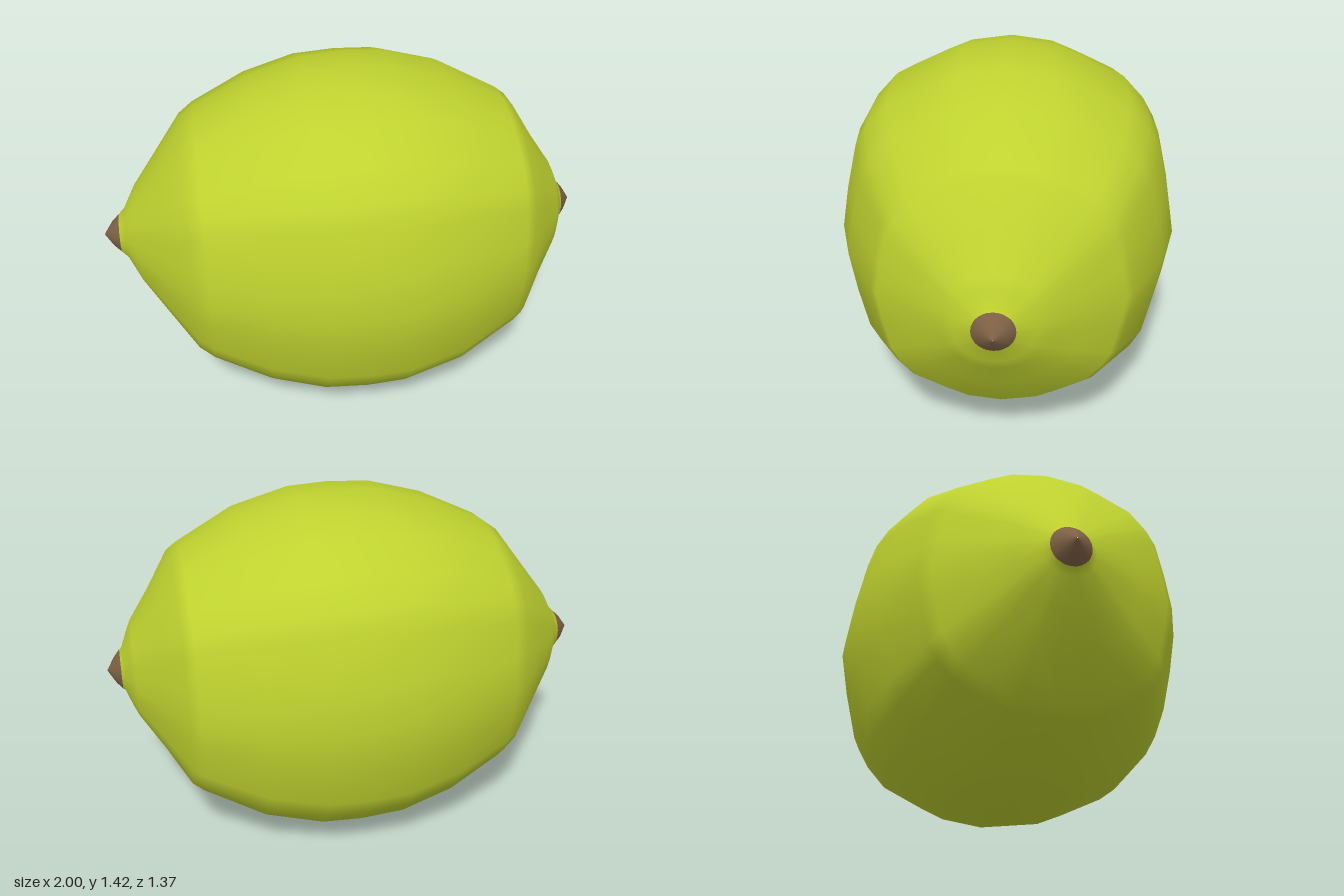
import * as THREE from 'three';

// quarter of the squarish cross-section as [y, z], from the top round to the +z side
const QUARTER = [[0.71, 0], [0.684, 0.19], [0.637, 0.30], [0.55, 0.48], [0.455, 0.565], [0.37, 0.612], [0.18, 0.655], [0, 0.685]];
const N = QUARTER.length - 1;
const RING = [];
for (let q = 0; q < 4; q++) {
  for (let i = 0; i < N; i++) {
    const [y, z] = QUARTER[q % 2 ? N - i : i];
    RING.push([q === 1 || q === 2 ? -y : y, q > 1 ? -z : z]);
  }
}

// skin over stations [x, half height]; small rings become round and drift sideways at the ends
function loft(stations) {
  const pos = [], index = [], n = RING.length;
  for (const [x, r] of stations) {
    const round = 1 - THREE.MathUtils.smoothstep(r, 0.08, 0.4);
    const drift = 0.02 * Math.sign(x) * THREE.MathUtils.smoothstep(Math.abs(x), 0.6, 0.95);
    for (const [y, z] of RING) {
      const len = Math.hypot(y, z);
      const sy = THREE.MathUtils.lerp(y / 0.71, y / len, round);
      const sz = THREE.MathUtils.lerp(z / 0.71, z / len, round);
      pos.push(x, 0.715 + r * sy, drift + r * sz);
    }
  }
  for (let i = 0; i < stations.length - 1; i++) {
    for (let j = 0; j < n; j++) {
      const a = i * n + j, b = i * n + (j + 1) % n;
      index.push(a, b, a + n, b, b + n, a + n);
    }
  }
  const geo = new THREE.BufferGeometry();
  geo.setAttribute('position', new THREE.Float32BufferAttribute(pos, 3));
  geo.setIndex(index);
  geo.computeVertexNormals();
  return geo;
}

export function createModel() {
  const peel = new THREE.MeshStandardMaterial({ color: 0xbfd22f });
  peel.name = 'limePeel';
  const brown = new THREE.MeshStandardMaterial({ color: 0x7d6145 });
  brown.name = 'stemBrown';

  const group = new THREE.Group();
  group.name = 'citrusFruit';
  const add = (name, stations, material) => {
    const mesh = new THREE.Mesh(loft(stations), material);
    mesh.name = name;
    group.add(mesh);
  };

  // fruit body
  add('fruitBody', [
    [-0.94, 0.075], [-0.91, 0.105], [-0.86, 0.2], [-0.76, 0.335], [-0.65, 0.485], [-0.59, 0.53],
    [-0.36, 0.64], [-0.14, 0.7], [0.04, 0.71], [0.2, 0.703], [0.43, 0.643], [0.67, 0.515],
    [0.71, 0.485], [0.8, 0.335], [0.89, 0.2], [0.91, 0.155], [0.935, 0.09], [0.95, 0.075],
  ], peel);

  // pointed brown ends
  add('rightTip', [[-1, 0.002], [-0.965, 0.052], [-0.935, 0.08]], brown);
  add('leftTip', [[0.945, 0.082], [0.97, 0.052], [1, 0.002]], brown);
  return group;
}
